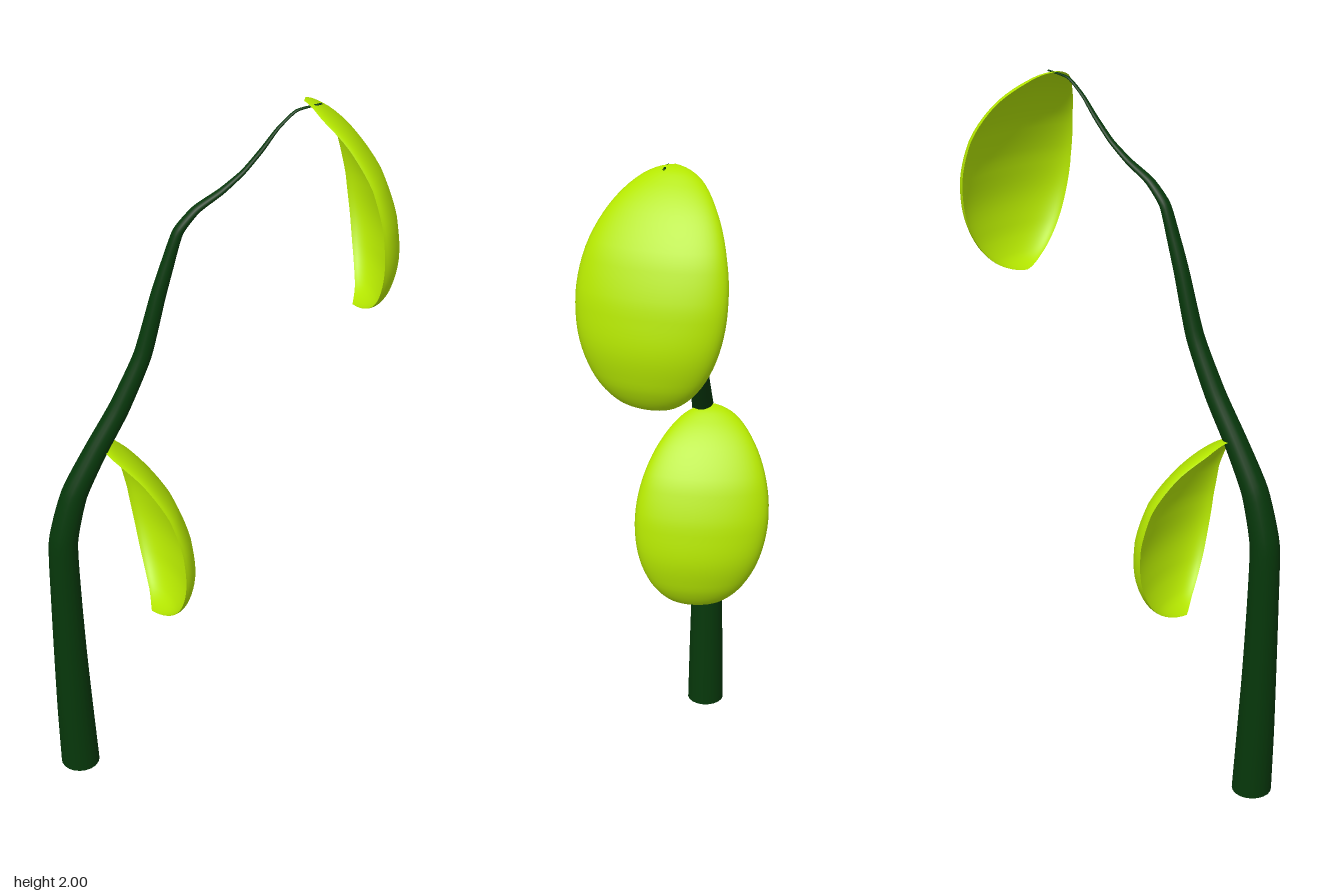
import * as THREE from 'three';

const V = (x, y, z = 0) => new THREE.Vector3(x, y, z);

// Smooth grid surface from point(i, j)
function gridSurface(rows, cols, point) {
  const pos = [], idx = [];
  for (let i = 0; i <= rows; i++) {
    for (let j = 0; j <= cols; j++) pos.push(...point(i / rows, j / cols).toArray());
  }
  for (let i = 0; i < rows; i++) {
    for (let j = 0; j < cols; j++) {
      const a = i * (cols + 1) + j, b = a + cols + 1;
      idx.push(a, a + 1, b, b, a + 1, b + 1);
    }
  }
  const g = new THREE.BufferGeometry();
  g.setAttribute('position', new THREE.Float32BufferAttribute(pos, 3));
  g.setIndex(idx);
  g.computeVertexNormals();
  return g;
}

// Tapered stem: centre line in x, y with the radius carried in z, flattened towards the tip
function stemGeometry() {
  const path = new THREE.CatmullRomCurve3([
    [-0.441, 0, 0.057], [-0.449, 0.2, 0.053], [-0.455, 0.4, 0.048], [-0.459, 0.6, 0.044],
    [-0.459, 0.8, 0.041], [-0.422, 0.95, 0.037], [-0.355, 1.08, 0.032], [-0.285, 1.2, 0.029],
    [-0.215, 1.35, 0.025], [-0.168, 1.52, 0.021], [-0.14, 1.61, 0.019], [-0.11, 1.697, 0.017],
    [-0.06, 1.752, 0.015], [0.01, 1.793, 0.012], [0.07, 1.838, 0.009], [0.122, 1.893, 0.008],
    [0.165, 1.945, 0.006], [0.215, 1.986, 0.005], [0.285, 1.996, 0.003],
  ].map(p => V(...p)), false, 'catmullrom', 0.3);
  return gridSurface(108, 20, (t, k) => {
    const c = path.getPoint(t), d = path.getTangent(t).setZ(0).normalize();
    if (t === 0) d.set(0, 1, 0);
    const a = k * Math.PI * 2;
    const r = c.z * (1 - 0.3 * THREE.MathUtils.smoothstep(t, 0.5, 0.7)) * Math.cos(a);
    return V(c.x + d.y * r, c.y - d.x * r, 0.013 + c.z * Math.sin(a));
  });
}

// Cupped leaf hanging from its tip: arched midrib, shallower rim, half-ellipse sections
function leafGeometry(lean) {
  const rib = [0, 0.06, 0.135, 0.203, 0.243, 0.256, 0.24, 0.205, 0.148];
  const rim = [0, 0.028, 0.088, 0.141, 0.17, 0.182, 0.183, 0.174, 0.148];
  const profile = new THREE.CatmullRomCurve3(rib.map((m, i) => V(m, rim[i], 0)));
  return gridSurface(40, 32, (t, k) => {
    const p = profile.getPoint(t), a = (k - 0.5) * Math.PI;
    const drop = 0.2975 * (1 - Math.cos(t * Math.PI));
    const halfWidth = 0.197 * Math.sin(t * Math.PI);
    return V(p.y + (p.x - p.y) * Math.cos(a), -drop, halfWidth * Math.sin(a) + lean * drop);
  });
}

export function createModel() {
  const model = new THREE.Group();
  model.name = 'plant';
  const stemMaterial = new THREE.MeshStandardMaterial({ color: 0x06370a, side: THREE.DoubleSide });
  const leafMaterial = new THREE.MeshStandardMaterial({ color: 0xb4e600, side: THREE.DoubleSide });

  const stem = new THREE.Mesh(stemGeometry(), stemMaterial);
  stem.name = 'stem';
  const base = new THREE.Mesh(new THREE.CircleGeometry(0.057, 20), stemMaterial);
  base.name = 'stemBase';
  base.rotation.x = Math.PI / 2;
  base.position.set(-0.441, 0, 0.013);
  model.add(stem, base);

  // Leaves: name, attachment point, turn about the vertical, sideways lean
  for (const [name, at, turn, lean] of [
    ['upperLeaf', [0.245, 2, -0.01], -0.155, 0.025],
    ['lowerLeaf', [-0.354, 1.088, -0.012], 0.1, 0.06],
  ]) {
    const leaf = new THREE.Mesh(leafGeometry(lean), leafMaterial);
    leaf.name = name;
    leaf.position.set(...at);
    leaf.rotation.y = turn;
    model.add(leaf);
  }
  return model;
}
